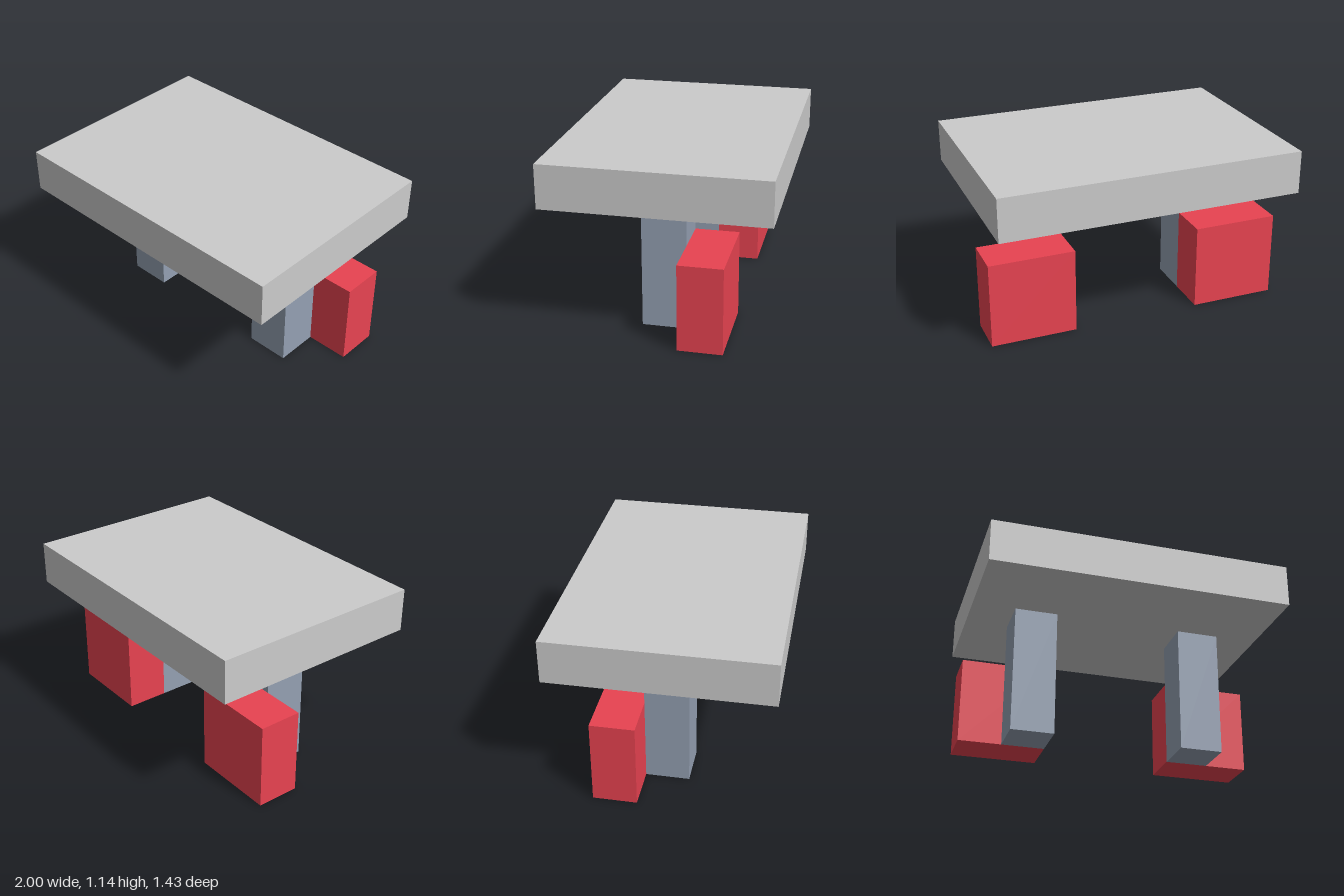
import * as THREE from 'three';

const U = 1 / 7; // grid unit: the slab is 14 units wide

export function createModel() {
  const group = new THREE.Group();
  const material = (color) => new THREE.MeshStandardMaterial({ color });
  const grey = material(0xcccccc);
  const slate = material(0x94a0b2);
  const red = material(0xe84351);

  // Box given by its size and base centre, in grid units
  function addBox(name, mat, [w, h, d], [x, y, z]) {
    const mesh = new THREE.Mesh(new THREE.BoxGeometry(w * U, h * U, d * U), mat);
    mesh.position.set(x * U, (y + h / 2) * U, z * U);
    mesh.name = name;
    group.add(mesh);
  }

  // Slab resting on the two legs
  addBox('tableTop', grey, [14, 2, 10], [0, 6, 0]);

  // Legs, each with a wider block behind it reaching outward
  for (const [side, s] of [['left', 1], ['right', -1]]) {
    addBox(`${side}Leg`, slate, [2, 6, 2], [4 * s, 0, 0]);
    addBox(`${side}RearBlock`, red, [4, 4, 2], [5 * s, 0, -2]);
  }

  return group;
}
